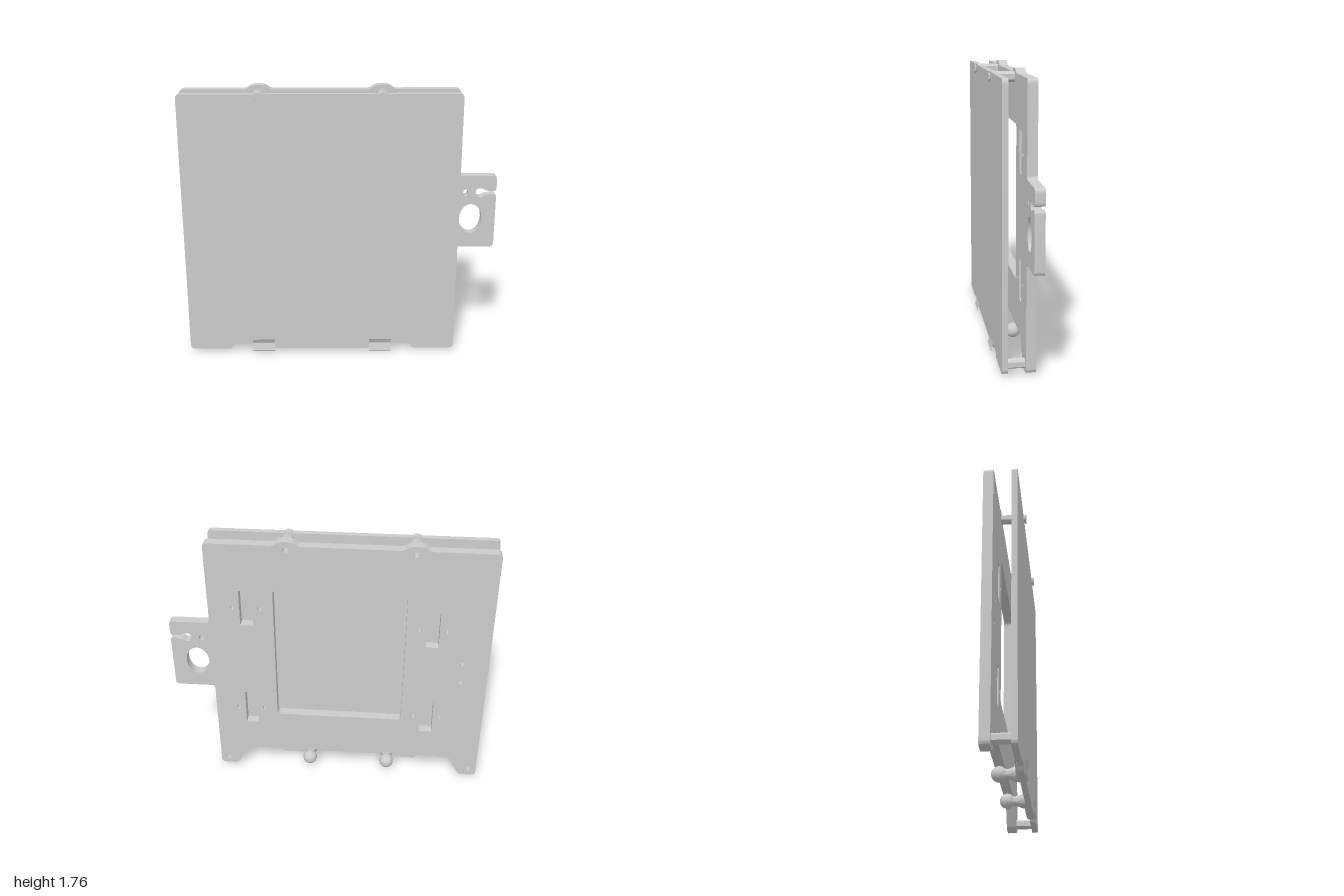
import * as THREE from 'three';
import { toCreasedNormals } from 'three/addons/utils/BufferGeometryUtils.js';

const MID = -0.1275; // centre line of both plates
const mat = new THREE.MeshStandardMaterial({ color: 0xcccccc });
const thinMat = new THREE.MeshStandardMaterial({ color: 0xcccccc, side: THREE.DoubleSide });

// Closed outline from [x, y, cornerRadius] points
function rounded(points, Target = THREE.Shape) {
  const s = new Target();
  const n = points.length;
  points.forEach(([x, y, r = 0], i) => {
    const corner = new THREE.Vector2(x, y);
    const toward = (p) => {
      const d = new THREE.Vector2(p[0], p[1]).sub(corner);
      return corner.clone().addScaledVector(d.clone().normalize(), Math.min(r, d.length() / 2));
    };
    const a = toward(points[(i + n - 1) % n]);
    const b = toward(points[(i + 1) % n]);
    if (i === 0) s.moveTo(a.x, a.y); else s.lineTo(a.x, a.y);
    if (r > 0) s.quadraticCurveTo(x, y, b.x, b.y);
  });
  s.closePath();
  return s;
}

const ellipse = (x, y, rx, ry = rx) => new THREE.Path().absellipse(x, y, rx, ry, 0, Math.PI * 2);

const rect = (x, y, w, h, r = 0) => rounded([
  [x - w / 2, y - h / 2, r], [x + w / 2, y - h / 2, r],
  [x + w / 2, y + h / 2, r], [x - w / 2, y + h / 2, r]], THREE.Path);

function plate(name, shape, z0, z1, holes = []) {
  shape.holes.push(...holes);
  const g = new THREE.ExtrudeGeometry(shape, { depth: z1 - z0, bevelEnabled: false, curveSegments: 10 });
  g.translate(0, 0, z0);
  const m = new THREE.Mesh(toCreasedNormals(g, 0.6), mat);
  m.name = name;
  return m;
}

// Turned part along z from [radius, z] points listed front to back
function turned(name, profile, x, y, sides = 24) {
  const pts = profile.map(([r, z]) => new THREE.Vector2(r, -z));
  const g = new THREE.LatheGeometry(pts, sides);
  g.rotateX(-Math.PI / 2);
  const m = new THREE.Mesh(toCreasedNormals(g, 0.6), thinMat);
  m.name = name;
  m.position.set(x, y, 0);
  return m;
}

function backPlate() {
  const bump = (x) => [[x + 0.075, 1.735, 0.02], [x + 0.04, 1.763, 0.03], [x - 0.04, 1.763, 0.03], [x - 0.075, 1.735, 0.02]];
  const outline = rounded([
    [-1, 0.02, 0.03], [-0.885, 0.02, 0.03], [-0.8, 0.18, 0.03],
    [0.545, 0.18, 0.03], [0.63, 0.02, 0.03], [0.745, 0.02, 0.03],
    // side tab with a keyhole slot open to its edge
    [0.745, 0.69, 0.025], [1, 0.69, 0.025], [1, 1.052, 0.02], [0.965, 1.052, 0.015],
    [0.94, 1.046, 0.01], [0.925, 1.046, 0.008], [0.912, 1.033, 0.012],
    [0.872, 1.033, 0.022], [0.866, 1.088, 0.025], [0.912, 1.09, 0.012],
    [0.928, 1.077, 0.008], [0.96, 1.073, 0.015], [1, 1.073, 0.02],
    [1, 1.175, 0.025], [0.745, 1.175, 0.025],
    [0.745, 1.735, 0.03], ...bump(0.255), ...bump(-0.51), [-1, 1.735, 0.03]]);
  const holes = [
    rect(-0.066, 0.955, 0.815, 0.96, 0.03), // large window
    ellipse(0.84, 0.885, 0.073, 0.1), ellipse(0.803, 1.062, 0.017, 0.022),
    ellipse(-0.837, 0.945, 0.015), ellipse(-0.837, 0.805, 0.015),
    ellipse(0.255, 1.71, 0.018), ellipse(-0.51, 1.71, 0.018),
    ellipse(0.695, 0.07, 0.018), ellipse(-0.95, 0.07, 0.018)];
  // slots, each with a screw hole on either side
  for (const [x, y] of [[0.51, 1.295], [0.51, 0.52], [-0.638, 1.19], [-0.638, 0.51]]) {
    holes.push(rect(x, y, 0.08, 0.25));
    for (const s of [-1, 1]) holes.push(ellipse(x + s * 0.085, y, 0.013, 0.016));
  }
  return plate('backPlate', outline, -0.11, -0.05, holes);
}

function frontPlate() {
  const notch = (a, b) => [[a, 0.02, 0.01], [a + 0.022, 0.055, 0.02], [b - 0.022, 0.055, 0.02], [b, 0.02, 0.01]];
  return plate('frontPlate', rounded([
    [-1, 0.02, 0.03], ...notch(-0.73, -0.57), ...notch(0.315, 0.475), [0.745, 0.02, 0.03],
    [0.745, 1.735, 0.03], [-1, 1.735, 0.03]]), 0.055, 0.09);
}

// Spring clip: bracket with rounded ear, and a hook wrapped under the front plate
function clip(side) {
  const g = new THREE.Group();
  g.name = side > 0 ? 'leftClip' : 'rightClip';
  const fix = (pts) => pts.map(([x, y, r]) => [MID + side * x, y, r]);
  g.add(plate('clipBracket', rounded(fix([
    [0.21, 0.03, 0.02], [0.31, 0.012], [0.455, 0.012, 0.01], [0.48, 0.04, 0.015], [0.52, 0.032, 0.02],
    [0.565, 0.035, 0.025], [0.565, 0.095, 0.03], [0.21, 0.095, 0.03]])), 0.045, 0.055,
  [ellipse(MID + side * 0.53, 0.065, 0.012), ellipse(MID + side * 0.43, 0.065, 0.01)]));
  const path = [[0.05, 0.03], [0.05, 0.004], [0.095, 0.001], [0.106, 0.012], [0.092, 0.06], [0.095, 0.07], [0.108, 0.093]];
  const w = 0.145;
  const pos = [];
  const index = [];
  path.forEach(([z, y], i) => {
    pos.push(-w / 2, y, z, w / 2, y, z);
    if (i) { const k = i * 2; index.push(k - 2, k - 1, k + 1, k - 2, k + 1, k); }
  });
  const geo = new THREE.BufferGeometry();
  geo.setAttribute('position', new THREE.Float32BufferAttribute(pos, 3));
  geo.setIndex(index);
  const hook = new THREE.Mesh(toCreasedNormals(geo, 0.3), thinMat);
  hook.name = 'clipHook';
  hook.position.x = MID + side * 0.385;
  g.add(hook);
  return g;
}

export function createModel() {
  const model = new THREE.Group();
  model.name = 'plateAssembly';
  model.add(backPlate(), frontPlate());

  // hexagonal spacers between the plates
  for (const [x, y] of [[-0.51, 1.71], [0.255, 1.71], [-0.95, 0.07], [0.695, 0.07]]) {
    model.add(turned('spacer', [[0, 0.056], [0.032, 0.056], [0.032, -0.051], [0.017, -0.051], [0.017, -0.02], [0, -0.02]], x, y, 6));
  }

  for (const x of [-0.51, 0.255]) {
    // flared screw heads and their bosses along the top edge
    model.add(turned('screwHead', [[0, 0.096], [0.012, 0.096], [0.012, 0.107], [0.03, 0.107], [0.028, 0.1], [0.014, 0.089]], x, 1.708));
    model.add(turned('boss', [[0, 0.091], [0.036, 0.091], [0.036, 0.054], [0, 0.054]], x, 1.708));
  }

  // clips with ball-ended pull knobs
  const ball = [];
  for (let i = 0; i <= 10; i++) {
    const a = 0.7 + (Math.PI - 0.7) * (i / 10);
    ball.push([0.047 * Math.sin(a), -0.063 + 0.047 * Math.cos(a)]);
  }
  for (const side of [-1, 1]) {
    model.add(clip(side));
    model.add(turned('knob', [[0, 0.052], [0.045, 0.052], [0.046, 0.035], [0.04, 0.018], [0.032, 0], [0.029, -0.015], ...ball], MID + side * 0.2625, 0.067));
  }
  return model;
}
